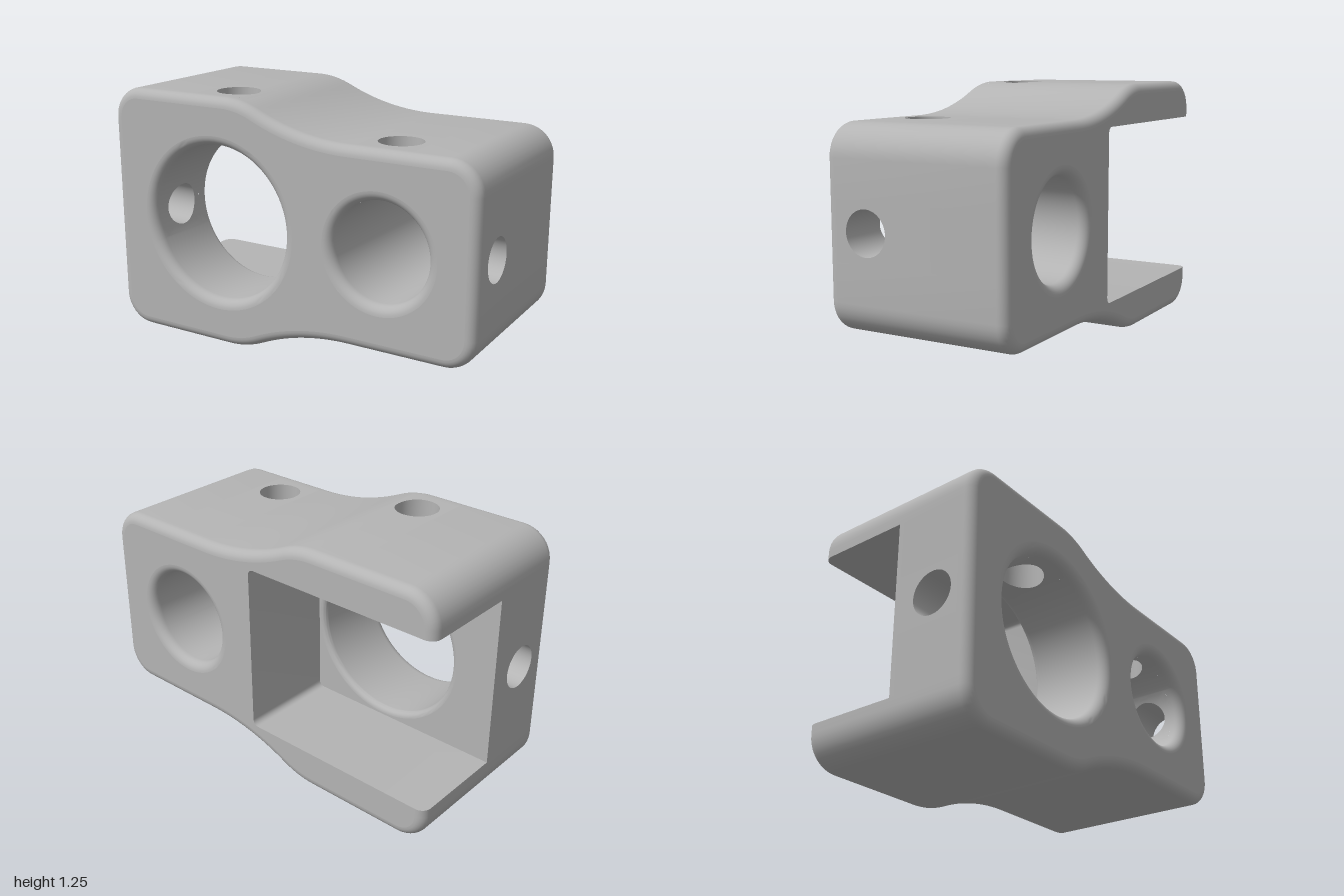
import * as THREE from 'three';
import { toCreasedNormals } from 'three/addons/utils/BufferGeometryUtils.js';

const CY = 0.6275;                 // mid height
const ZE = 0.465, R = 0.05;        // half depth, edge rounding
const HL = 0.6275, HR = 0.478;     // half heights of the big and small ends
const CORNER = 0.155;
const HOLE = 0.107, HOLE_Z = 0.25, WIN = 0.14;  // cross holes and their patch half size
const POCKET = { x: 0.05, h: 0.43, z: 0.035, r: 0.03, rim: 0.03 };
const BIG = { x: -0.375, r: 0.39 }, SMALL = { x: 0.518, r: 0.243 };

// height of the upper edge above the middle: two tangent arcs join the ends
const R1 = 0.45, X1 = -0.33, X2 = 0.35, DROP = HL - HR;
const R2 = ((X2 - X1) ** 2 + DROP ** 2) / (2 * DROP) - R1;
const XM = X1 + (X2 - X1) * R1 / (R1 + R2);
function edge(x) {
  if (x <= X1) return HL;
  if (x >= X2) return HR;
  return x < XM ? HL - R1 + Math.sqrt(R1 * R1 - (x - X1) ** 2)
    : HR + R2 - Math.sqrt(R2 * R2 - (x - X2) ** 2);
}

// outline, counter-clockwise from the middle of the right side: [x, y, nx, ny]
function outline() {
  const half = [];
  const corner = (x, y, a0) => {
    for (let k = 0; k <= 10; k++) {
      const a = a0 + k * Math.PI / 20, c = Math.cos(a), s = Math.sin(a);
      half.push([x + CORNER * c, y + CORNER * s, c, s]);
    }
  };
  half.push([1, 0, 1, 0], [1, WIN, 1, 0]);
  corner(1 - CORNER, HR - CORNER, 0);
  const xs = [SMALL.x + WIN, SMALL.x - WIN, BIG.x + WIN, BIG.x - WIN];
  for (let k = 0; k <= 28; k++) xs.push(X2 + (X1 - X2) * k / 28);
  for (const x of xs.sort((a, b) => b - a)) {
    const d = (edge(x + 1e-4) - edge(x - 1e-4)) / 2e-4, l = Math.hypot(d, 1);
    half.push([x, edge(x), -d / l, 1 / l]);
  }
  corner(CORNER - 1, HL - CORNER, Math.PI / 2);
  half.push([-1, POCKET.h, -1, 0], [-1, WIN, -1, 0], [-1, 0, -1, 0]);
  const lower = half.slice(0, -1).reverse().map(([x, y, a, b]) => [x, -y, a, -b]);
  return [...half, ...lower].map(([x, y, a, b]) => [x, y + CY, a, b]);
}

// bore circle, clockwise, with extra points at the patch borders
function boreLoop({ x, r }, sideAngle) {
  const d = Math.asin(WIN / r), T = 2 * Math.PI, angles = [];
  for (let k = 0; k < 80; k++) angles.push(k * T / 80);
  for (const a of [Math.PI / 2, sideAngle]) angles.push(a - d, (a + d) % T);
  const list = angles.map(a => (a + T) % T).sort((a, b) => b - a);
  const pts = list.filter((a, i) => i === 0 || list[i - 1] - a > 1e-5)
    .map(a => [x + r * Math.cos(a), CY + r * Math.sin(a), -Math.cos(a), -Math.sin(a)]);
  return [...pts, pts[0]];
}

// triangle collector
class Surface {
  constructor() { this.p = []; }
  tri(a, b, c) { this.p.push(...a, ...b, ...c); }
  quad(a, b, c, d) { this.tri(a, b, c); this.tri(a, c, d); }
  strip(back, front, keep = () => true) {
    for (let i = 0; i + 1 < back.length; i++)
      if (keep(i)) this.quad(back[i], back[i + 1], front[i + 1], front[i]);
  }
  // flat face at depth z, looking along dir (+1 front, -1 back)
  cap(contour, holes, z, dir) {
    const v = l => l.map(p => new THREE.Vector2(p[0], p[1]));
    const c = v(contour), h = holes.map(v), all = [c, ...h].flat();
    for (const f of THREE.ShapeUtils.triangulateShape(c, h)) {
      const [a, b, d] = f.map(i => all[i]);
      const area = (b.x - a.x) * (d.y - a.y) - (b.y - a.y) * (d.x - a.x);
      const [A, B, D] = [a, b, d].map(q => [q.x, q.y, z]);
      if (area * dir > 0) this.tri(A, B, D); else this.tri(A, D, B);
    }
  }
  mesh(name, material) {
    const g = new THREE.BufferGeometry();
    g.setAttribute('position', new THREE.Float32BufferAttribute(this.p, 3));
    const m = new THREE.Mesh(toCreasedNormals(g, 0.5), material);
    m.name = name;
    return m;
  }
}

const atZ = (pts, z) => pts.map(p => [p[0], p[1], z]);
// loop part-way round an edge rounding of radius r; dir +1 front, -1 back
const rounded = (pts, z, r, t, dir) => pts.map(([x, y, a, b]) => {
  const d = r * (1 - Math.cos(t));
  return [x - a * d, y - b * d, z + dir * r * (Math.sin(t) - 1)];
});
const STEPS = 7;
function rounding(s, pts, z, r, dir, keep) {
  for (let k = 0; k < STEPS; k++) {
    const [a, b] = [k, k + 1].map(j => rounded(pts, z, r, j / STEPS * Math.PI / 2, dir));
    if (dir > 0) s.strip(a, b, keep); else s.strip(b, a, keep);
  }
}
const rim = (pts, r) => rounded(pts, 0, r, Math.PI / 2, 1).slice(0, -1);

// straight wall between two depths, leaving out the patches around cross holes
function wall(s, pts, backZ, frontZ, windows) {
  for (let i = 0; i + 1 < pts.length; i++) {
    const seg = [pts[i], pts[i + 1]], mx = (seg[0][0] + seg[1][0]) / 2, my = (seg[0][1] + seg[1][1]) / 2;
    const open = windows.some(w => w.test(mx, my)), z0 = backZ(mx, my);
    const ranges = open ? [[z0, HOLE_Z - WIN], [HOLE_Z + WIN, frontZ]] : [[z0, frontZ]];
    for (const [a, b] of ranges) s.strip(atZ(seg, a), atZ(seg, b));
  }
  for (const w of windows) patch(s, w.at);
}

// square patch with a round hole, laid on the surface at(u)
const SIDES = 48;
function patch(s, at) {
  const ringAt = f => Array.from({ length: SIDES + 1 }, (_, k) => {
    const a = k * 2 * Math.PI / SIDES, c = Math.cos(a), n = Math.sin(a);
    const d = HOLE + (WIN / Math.max(Math.abs(c), Math.abs(n)) - HOLE) * f;
    return [...at(c * d), HOLE_Z + n * d];
  });
  for (let j = 0; j < 4; j++) s.strip(ringAt((j + 1) / 4), ringAt(j / 4));
}

export function createModel() {
  const group = new THREE.Group();
  const grey = new THREE.MeshStandardMaterial({ color: 0xb4b4b4 });
  grey.name = 'grey';
  const add = (name, build) => {
    const s = new Surface();
    build(s);
    group.add(s.mesh(name, grey));
  };
  const body = outline();
  const bigLoop = boreLoop(BIG, Math.PI), smallLoop = boreLoop(SMALL, 0);
  const inPocket = (x, y) => x < -0.9 && Math.abs(y - CY) < POCKET.h + 1e-6;

  // cross holes: outer surface and bore surface, u running along each loop
  const topHole = ({ x, r }) => ({
    outer: { test: (a, b) => b > CY + 0.4 && Math.abs(a - x) < WIN, at: u => [x - u, CY + edge(x - u)] },
    inner: { test: (a, b) => b > CY && Math.abs(a - x) < WIN, at: u => [x + u, CY + Math.sqrt(r * r - u * u)] },
  });
  const sideHole = ({ x, r }, k) => ({
    outer: { test: (a, b) => a * k > 0.99 && Math.abs(b - CY) < WIN, at: u => [k, CY + k * u] },
    inner: { test: (a, b) => (a - x) * k > 0 && Math.abs(b - CY) < WIN, at: u => [x + k * Math.sqrt(r * r - u * u), CY - k * u] },
  });
  const bigHoles = [topHole(BIG), sideHole(BIG, -1)];
  const smallHoles = [topHole(SMALL), sideHole(SMALL, 1)];

  // outer walls with rounded front and back edges
  add('outerWall', s => {
    wall(s, body, (x, y) => inPocket(x, y) ? POCKET.z : R - ZE, ZE - R,
      [...bigHoles, ...smallHoles].map(h => h.outer));
    rounding(s, body, ZE, R, 1);
    rounding(s, body, -ZE, R, -1, i =>
      !inPocket((body[i][0] + body[i + 1][0]) / 2, (body[i][1] + body[i + 1][1]) / 2));
  });

  // the two main bores
  const bore = (name, loop, backZ, backR, holes) => add(name, s => {
    wall(s, loop, () => backZ + backR, ZE - R, holes.map(h => h.inner));
    rounding(s, loop, ZE, R, 1);
    rounding(s, loop, backZ, backR, -1);
  });
  bore('largeBore', bigLoop, POCKET.z, POCKET.rim, bigHoles);
  bore('smallBore', smallLoop, -ZE, R, smallHoles);

  // tunnels from the outer walls into the bores
  add('crossHoles', s => {
    for (const h of [...bigHoles, ...smallHoles]) {
      const loop = (at, sign) => Array.from({ length: SIDES + 1 }, (_, k) => {
        const a = k * 2 * Math.PI / SIDES;
        return [...at(sign * HOLE * Math.cos(a)), HOLE_Z + HOLE * Math.sin(a)];
      });
      s.strip(loop(h.outer.at, 1), loop(h.inner.at, -1));
    }
  });

  // rear pocket, open to the back and the side: [x, y, back depth]
  const upper = [];
  for (let k = 0; k <= STEPS; k++) {
    const t = k / STEPS * Math.PI / 2;
    upper.push([-1 + R * (1 - Math.cos(t)), POCKET.h, R - ZE - R * Math.sin(t)]);
  }
  for (let k = 0; k <= 5; k++) {
    const t = Math.PI / 2 * (1 - k / 5), r = POCKET.r;
    upper.push([POCKET.x - r + r * Math.cos(t), POCKET.h - r + r * Math.sin(t), -ZE]);
  }
  const path = [...upper, ...upper.slice().reverse().map(([x, y, z]) => [x, -y, z])]
    .map(([x, y, z]) => [x, y + CY, z]);
  add('pocketWalls', s => s.strip(path, atZ(path, POCKET.z)));
  add('pocketFloor', s => s.cap(path, [rim(bigLoop, POCKET.rim)], POCKET.z, -1));

  // flat front and back faces
  const inset = rim(body, R);
  add('frontFace', s => s.cap(inset, [rim(bigLoop, R), rim(smallLoop, R)], ZE, 1));
  const first = inset.findIndex(p => inPocket(p[0], p[1]));
  const backContour = inset.filter(p => !inPocket(p[0], p[1]));
  backContour.splice(first, 0, ...path.filter(p => p[0] > -1 + R - 1e-6));
  add('backFace', s => s.cap(backContour, [rim(smallLoop, R)], -ZE, -1));
  return group;
}
